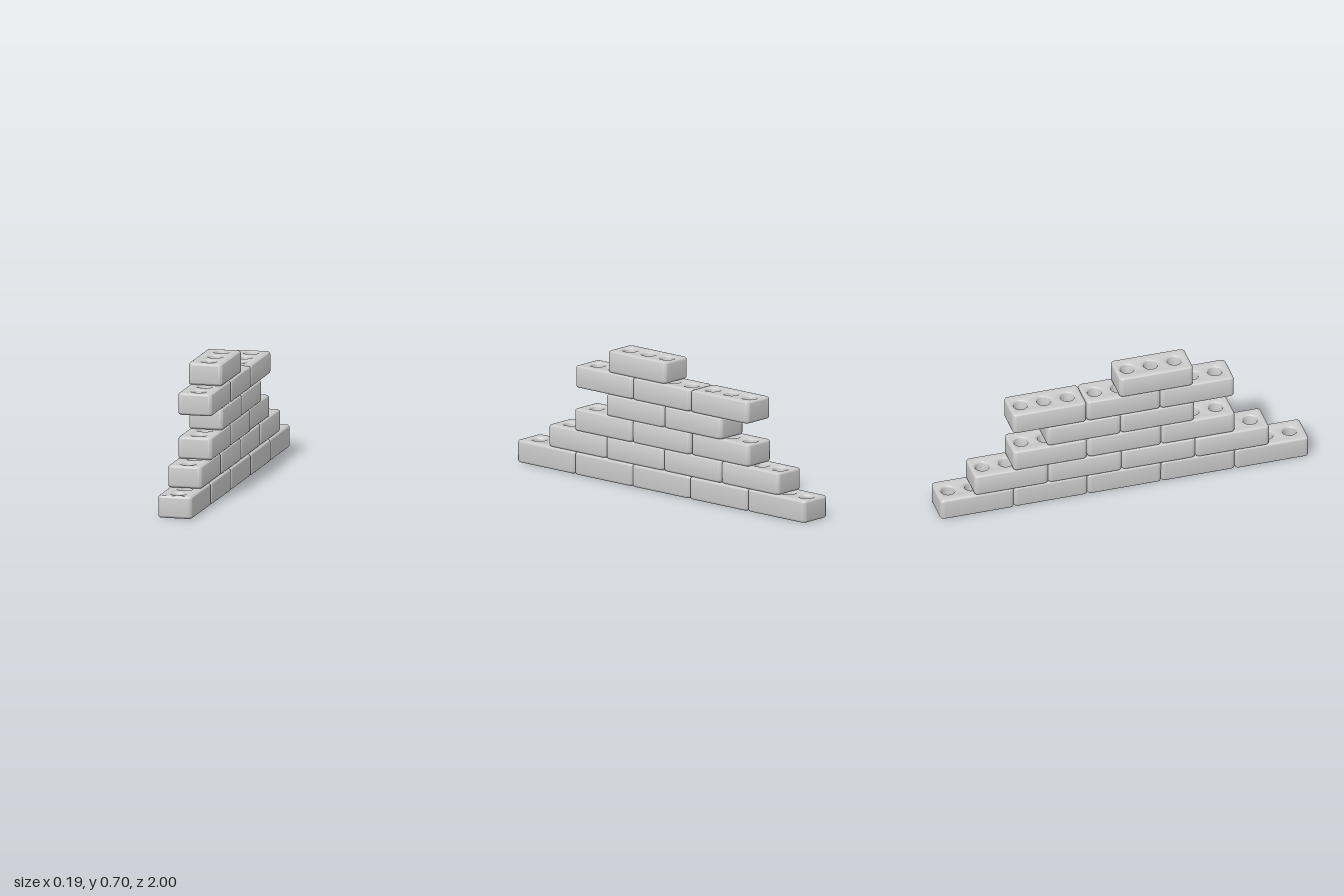
import * as THREE from 'three';
import { toCreasedNormals } from 'three/addons/utils/BufferGeometryUtils.js';

const WIDTH = 0.184, LENGTH = 0.4, BEVEL = 0.013;

// Rounded brick with three through-holes, standing on y = 0, long along z.
function brickGeometry(height) {
  const w = WIDTH / 2, l = LENGTH / 2, r = 0.022;
  const shape = new THREE.Shape();
  shape.moveTo(-w + r, -l);
  shape.lineTo(w - r, -l);
  shape.absarc(w - r, -l + r, r, -Math.PI / 2, 0);
  shape.lineTo(w, l - r);
  shape.absarc(w - r, l - r, r, 0, Math.PI / 2);
  shape.lineTo(-w + r, l);
  shape.absarc(-w + r, l - r, r, Math.PI / 2, Math.PI);
  shape.lineTo(-w, -l + r);
  shape.absarc(-w + r, -l + r, r, Math.PI, Math.PI * 1.5);

  for (const z of [-0.135, -0.008, 0.12]) {
    const hole = new THREE.Path();
    hole.absarc(0, -z, 0.036, 0, Math.PI * 2, true);
    shape.holes.push(hole);
  }
  const geometry = new THREE.ExtrudeGeometry(shape, {
    depth: height - BEVEL * 2,
    bevelThickness: BEVEL,
    bevelSize: BEVEL,
    bevelOffset: -BEVEL,
    bevelSegments: 4,
    curveSegments: 8,
  });
  geometry.rotateX(-Math.PI / 2);
  geometry.translate(0, BEVEL, 0);
  return toCreasedNormals(geometry, 0.9);
}

// Courses from the ground up: bottom, top, and each brick's [x, z] centre.
const COURSES = [
  { y0: 0.002, y1: 0.121, bricks: [[0.002, 0.8], [0.004, 0.4], [0.003, 0], [0.004, -0.4], [0.001, -0.8]] },
  { y0: 0.121, y1: 0.238, bricks: [[-0.002, 0.585], [0, 0.185], [-0.001, -0.215], [-0.002, -0.615]] },
  { y0: 0.238, y1: 0.355, bricks: [[0.004, 0.4], [0.002, 0], [-0.005, -0.405]] },
  { y0: 0.354, y1: 0.468, bricks: [[0.004, 0.18], [0.002, -0.22]] },
  { y0: 0.469, y1: 0.586, bricks: [[0.002, 0.395], [0.004, -0.004], [0.002, -0.406]] },
  { y0: 0.586, y1: 0.702, bricks: [[-0.002, 0.172]] },
];

export function createModel() {
  const model = new THREE.Group();
  model.name = 'brickWall';
  const material = new THREE.MeshStandardMaterial({ color: 0xcccccc });

  COURSES.forEach(({ y0, y1, bricks }, i) => {
    const course = new THREE.Group();
    course.name = `course${i + 1}`;
    course.position.y = y0;
    const geometry = brickGeometry(y1 - y0);
    bricks.forEach(([x, z], j) => {
      const brick = new THREE.Mesh(geometry, material);
      brick.name = `brick${j + 1}`;
      brick.position.set(x, 0, z);
      course.add(brick);
    });
    model.add(course);
  });
  return model;
}
